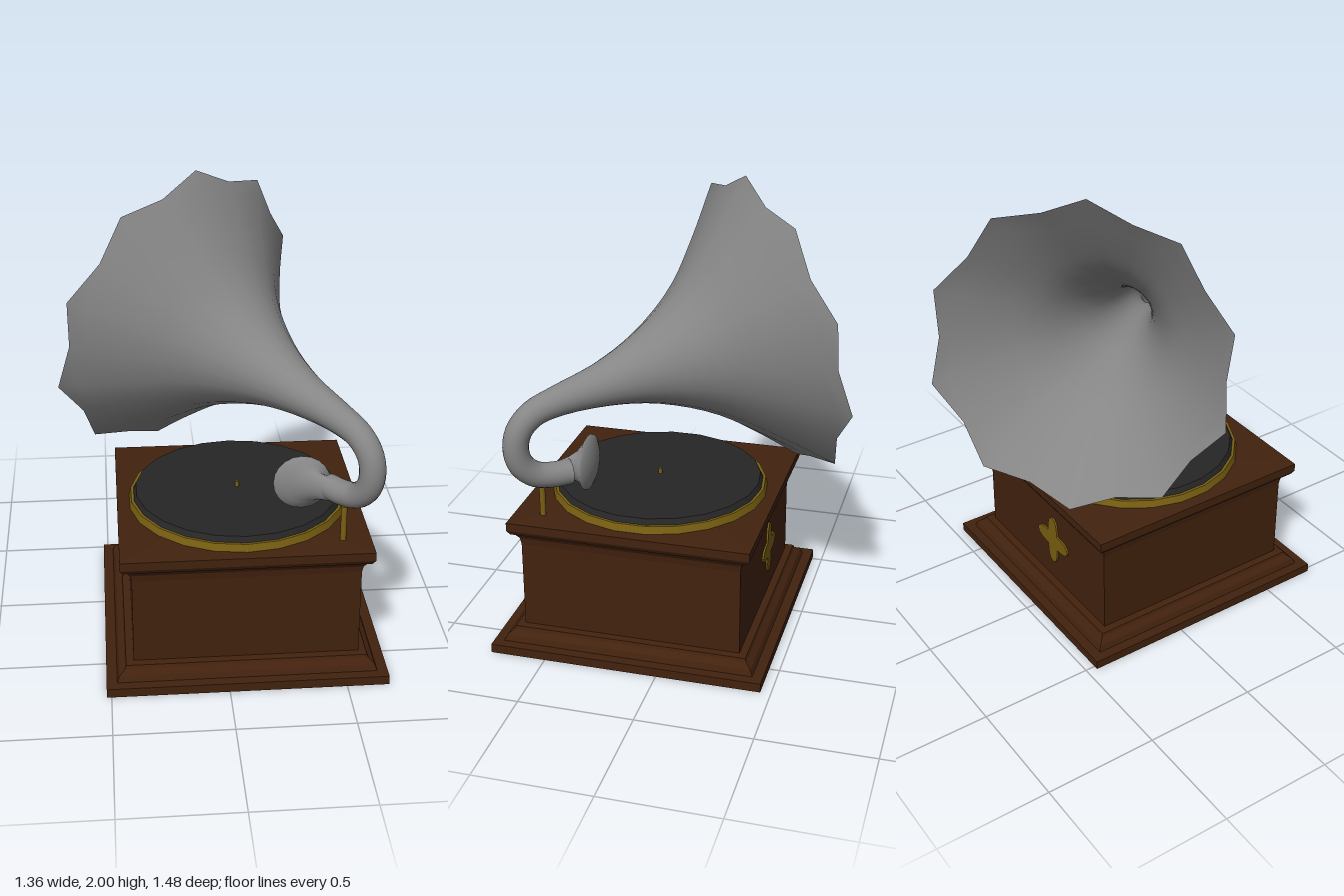
import * as THREE from 'three';

const paint = (name, color, side = THREE.FrontSide) => {
  const m = new THREE.MeshStandardMaterial({ color, side });
  m.name = name;
  return m;
};

// Skin a list of closed rings, each running counter-clockwise about the direction of travel.
function loft(rings, flat = false) {
  const n = rings[0].length;
  const index = [];
  for (let i = 0; i < rings.length - 1; i++) {
    for (let j = 0; j < n; j++) {
      const k = (j + 1) % n;
      const a = i * n + j, b = i * n + k, c = a + n, d = b + n;
      index.push(a, b, d, a, d, c);
    }
  }
  let g = new THREE.BufferGeometry().setFromPoints(rings.flat());
  g.setIndex(index);
  if (flat) g = g.toNonIndexed();
  g.computeVertexNormals();
  return g;
}

export function createModel() {
  const model = new THREE.Group();
  model.name = 'gramophone';

  const wood = paint('dark wood', 0x42220e, THREE.DoubleSide);
  const brass = paint('brass', 0x7a6012);
  const black = paint('black shellac', 0x262626);
  const metal = paint('grey metal', 0x868686, THREE.DoubleSide);

  const add = (name, geometry, material, x = 0, y = 0, z = 0, parent = model) => {
    const mesh = new THREE.Mesh(geometry, material);
    mesh.name = name;
    mesh.position.set(x, y, z);
    parent.add(mesh);
    return mesh;
  };

  // Cabinet: moulded square shell, open underneath
  const CX = 0.08, CZ = 0.145;
  const cabinet = [
    [0.6, 0], [0.6, 0.04], [0.555, 0.04], [0.545, 0.065], [0.52, 0.085], [0.515, 0.098], [0.482, 0.1],
    [0.482, 0.49], [0.487, 0.52], [0.5, 0.54], [0.518, 0.55], [0.53, 0.57], [0.53, 0.607], [0.0001, 0.608],
  ].map(([r, y]) => [[-r, r], [r, r], [r, -r], [-r, -r]].map(([x, z]) => new THREE.Vector3(x, y, z)));
  add('cabinet', loft(cabinet, true), wood, CX, 0, CZ);

  // Four-lobed ornament on the back of the cabinet
  const outline = [];
  for (let i = 0; i < 48; i++) {
    const a = (i / 48) * Math.PI * 2;
    const r = 0.088 + 0.035 * Math.cos(4 * a);
    outline.push(new THREE.Vector2(r * Math.cos(a), r * Math.sin(a)));
  }
  const ornament = new THREE.ExtrudeGeometry(new THREE.Shape(outline), { depth: 0.008, bevelEnabled: false });
  add('ornament', ornament, brass, 0.01, 0.32, CZ - 0.49);

  // Turntable, record and spindle
  add('turntable', new THREE.CylinderGeometry(0.472, 0.48, 0.034, 22), brass, CX, 0.623, CZ);
  add('record', new THREE.CylinderGeometry(0.448, 0.462, 0.028, 22), black, CX, 0.65, CZ);
  add('spindle', new THREE.CylinderGeometry(0.008, 0.01, 0.03, 10), brass, CX, 0.672, CZ);

  // Post carrying the arm
  add('armPost', new THREE.CylinderGeometry(0.013, 0.013, 0.16, 12), brass, 0.49, 0.685, 0.55);

  // Horn: lies in an upright plane through the bell centre, along the heading "h"
  const bell = new THREE.Vector3(-0.158, 0, -0.3);
  const h = new THREE.Vector3(-0.629, 0, -0.777);
  const up = new THREE.Vector3(0, 1, 0);
  const w = new THREE.Vector3().crossVectors(h, up).normalize();
  // Each control point: distance along h, height, tube radius
  const path = new THREE.CatmullRomCurve3([
    [-0.95, 0.802, 0.055], [-1.04, 0.803, 0.055], [-1.11, 0.822, 0.055], [-1.165, 0.875, 0.055],
    [-1.185, 0.95, 0.055], [-1.167, 1.03, 0.056], [-1.105, 1.095, 0.058], [-1.0, 1.133, 0.065],
    [-0.785, 1.177, 0.098], [-0.585, 1.218, 0.165], [-0.366, 1.262, 0.295], [-0.18, 1.3, 0.475], [0, 1.3375, 0.676],
  ].map((p) => new THREE.Vector3(...p)), false, 'centripetal');

  const STEPS = 44, SIDES = 20;
  const hornRings = [];
  for (let i = 0; i <= STEPS; i++) {
    const p = path.getPoint(i / STEPS);
    const t = path.getTangent(i / STEPS);
    const along = new THREE.Vector2(t.x, t.y).normalize();
    const tangent = h.clone().multiplyScalar(along.x).addScaledVector(up, along.y);
    const normal = h.clone().multiplyScalar(-along.y).addScaledVector(up, along.x);
    const flute = THREE.MathUtils.clamp((p.z - 0.15) / 0.526, 0, 1);
    const ring = [];
    for (let j = 0; j < SIDES; j++) {
      const a = (j / SIDES) * Math.PI * 2;
      const valley = (j % 2) * flute; // ten petals: tips on even sides, valleys on odd
      const r = p.z * (1 - 0.08 * valley);
      ring.push(bell.clone().addScaledVector(h, p.x).addScaledVector(up, p.y)
        .addScaledVector(normal, r * Math.cos(a))
        .addScaledVector(w, r * Math.sin(a))
        .addScaledVector(tangent, -0.02 * valley));
    }
    hornRings.push(ring);
  }
  add('horn', loft(hornRings), metal);

  // Sound box: skewed flare from the tube end to a round face
  const soundRings = [
    [0.47, 0.49, 0.05], [0.42, 0.455, 0.055], [0.375, 0.43, 0.066], [0.345, 0.412, 0.09],
    [0.332, 0.395, 0.122], [0.33, 0.385, 0.12], [0.33, 0.37, 0.085], [0.33, 0.362, 0.04], [0.33, 0.36, 0.0005],
  ].map(([x, z, r]) => Array.from({ length: SIDES }, (_, j) => {
    const a = (j / SIDES) * Math.PI * 2;
    return new THREE.Vector3(x + r * Math.sin(a), 0.802 + r * Math.cos(a), z);
  }));
  add('soundBox', loft(soundRings), metal);

  return model;
}
